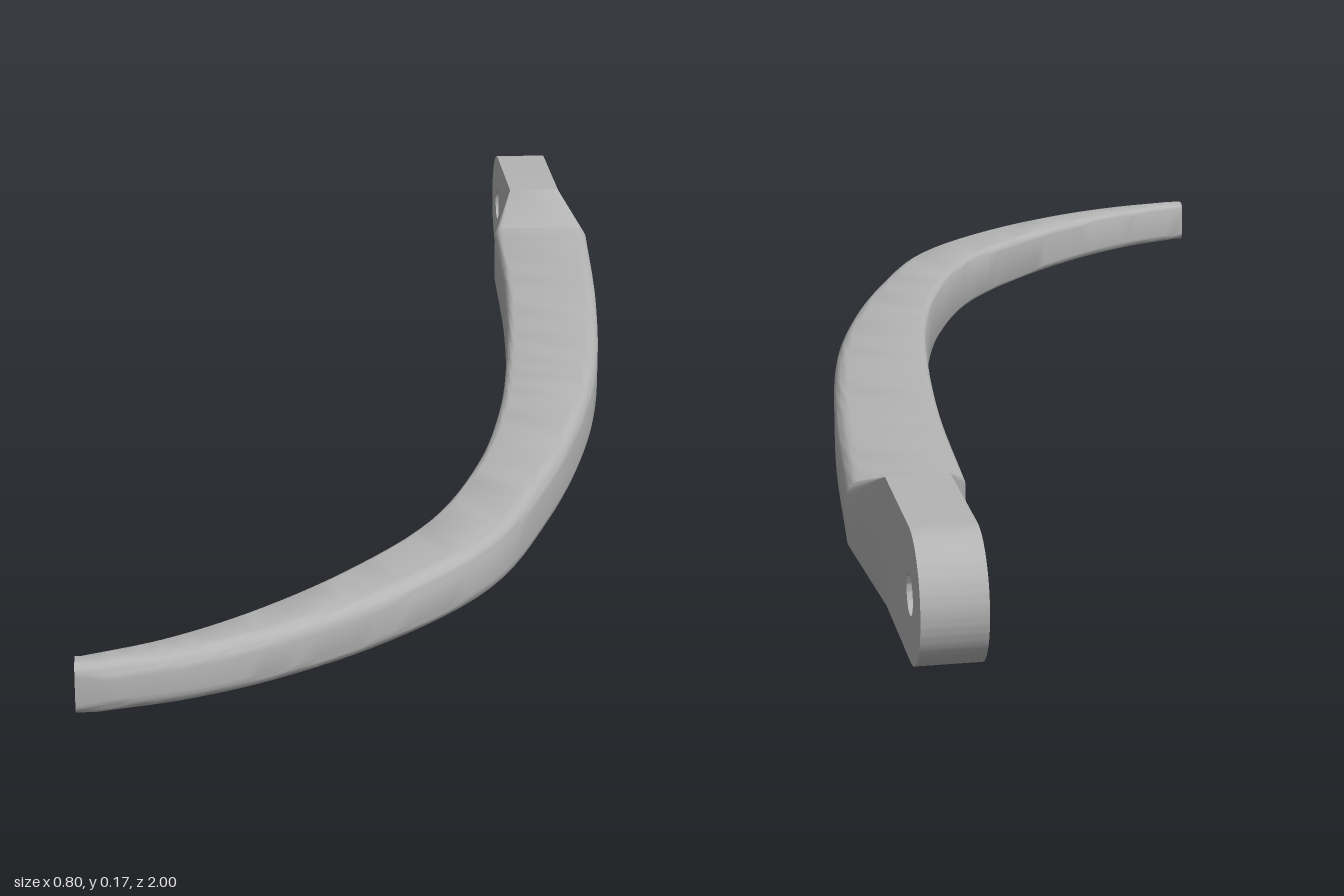
import * as THREE from 'three';
import { toCreasedNormals } from 'three/addons/utils/BufferGeometryUtils.js';

const MID_Y = 0.084;
const CORNER_STEPS = 5;

// Rounded rectangle between an inner and an outer edge point, counterclockwise seen from the front
function ring({ inner, outer, half, rIn, rOut }) {
  const across = new THREE.Vector2().subVectors(outer, inner);
  const w = across.length();
  across.normalize();
  const corners = [
    [w - rOut, -half + rOut, rOut, -Math.PI / 2],
    [w - rOut, half - rOut, rOut, 0],
    [rIn, half - rIn, rIn, Math.PI / 2],
    [rIn, -half + rIn, rIn, Math.PI],
  ];
  const points = [];
  for (const [cu, cv, r, start] of corners) {
    for (let k = 0; k <= CORNER_STEPS; k++) {
      const a = start + (k / CORNER_STEPS) * Math.PI / 2;
      const u = cu + r * Math.cos(a);
      points.push([inner.x + across.x * u, MID_Y + cv + r * Math.sin(a), inner.y + across.y * u]);
    }
  }
  return points;
}

// Skin through rings ordered from back to front, with optional front cap
function loft(rings, capFront, crease) {
  const n = rings[0].length;
  const index = [];
  for (let i = 0; i < rings.length - 1; i++) {
    for (let j = 0; j < n; j++) {
      const a = i * n + j, b = i * n + (j + 1) % n;
      index.push(a, b, a + n, b, b + n, a + n);
    }
  }
  if (capFront) {
    const base = (rings.length - 1) * n;
    for (let j = 1; j < n - 1; j++) index.push(base, base + j, base + j + 1);
  }
  const geometry = new THREE.BufferGeometry();
  geometry.setAttribute('position', new THREE.Float32BufferAttribute(rings.flat(2), 3));
  geometry.setIndex(index);
  return toCreasedNormals(geometry, crease);
}

export function createModel() {
  const group = new THREE.Group();
  group.name = 'curvedLever';
  const metal = new THREE.MeshStandardMaterial({ color: 0xb4b4b4 });
  metal.name = 'grey metal';
  const add = (name, geometry) => {
    const mesh = new THREE.Mesh(geometry, metal);
    mesh.name = name;
    group.add(mesh);
  };

  // Blade: inner x, z, outer x, z, half height
  const stations = [
    [0.25, -0.62, 0.4, -0.615, 0.048],
    [0.234, -0.31, 0.373, -0.29, 0.0465],
    [0.203, 0, 0.331, 0.03, 0.0445],
    [0.172, 0.2, 0.284, 0.235, 0.0425],
    [0.122, 0.4, 0.214, 0.45, 0.041],
    [0.038, 0.6, 0.118, 0.665, 0.039],
    [-0.08, 0.75, -0.02, 0.82, 0.0365],
    [-0.2, 0.86, -0.165, 0.925, 0.0345],
    [-0.3, 0.925, -0.275, 0.977, 0.033],
    [-0.4, 0.966, -0.365, 1.0, 0.032],
  ];
  const curve = (c) => new THREE.CatmullRomCurve3(
    stations.map((s) => new THREE.Vector3(s[c], s[4], s[c + 1])), false, 'centripetal');
  const innerCurve = curve(0), outerCurve = curve(2);
  const STEPS = 54;
  const sections = [];
  for (let i = 0; i <= STEPS; i++) {
    const p = innerCurve.getPoint(i / STEPS), q = outerCurve.getPoint(i / STEPS);
    const inner = new THREE.Vector2(p.x, p.z), outer = new THREE.Vector2(q.x, q.z);
    const w = inner.distanceTo(outer);
    sections.push({ inner, outer, half: p.y, rIn: Math.min(0.012, w * 0.25), rOut: Math.min(0.02, w * 0.4) });
  }
  // Blunt tip squared off at the end
  sections.push({
    inner: new THREE.Vector2(-0.4, 0.966), outer: new THREE.Vector2(-0.4, 1.0),
    half: 0.032, rIn: 0.008, rOut: 0.014,
  });
  add('blade', loft(sections.map(ring), true, 0.6));

  // Tapered neck between the tab and the blade
  const neckBack = {
    inner: new THREE.Vector2(0.285, -0.72), outer: new THREE.Vector2(0.365, -0.72),
    half: 0.083, rIn: 0.0005, rOut: 0.0005,
  };
  add('neck', loft([neckBack, sections[0]].map(ring), false, 0.5));

  // Mounting tab with a round end and a pivot hole
  const R = 0.083, endU = 1 - R;
  const tab = new THREE.Shape();
  tab.moveTo(0.72, MID_Y - R);
  tab.lineTo(endU, MID_Y - R);
  tab.absarc(endU, MID_Y, R, -Math.PI / 2, Math.PI / 2, false);
  tab.lineTo(0.72, MID_Y + R);
  tab.closePath();
  const hole = new THREE.Path();
  hole.absarc(endU, MID_Y, 0.025, 0, Math.PI * 2, true);
  tab.holes.push(hole);
  const tabGeometry = new THREE.ExtrudeGeometry(tab, { depth: 0.08, bevelEnabled: false, curveSegments: 24 });
  tabGeometry.rotateY(Math.PI / 2).translate(0.285, 0, 0);
  add('mountingTab', toCreasedNormals(tabGeometry, 0.6));

  group.position.y = R - MID_Y;
  return group;
}
